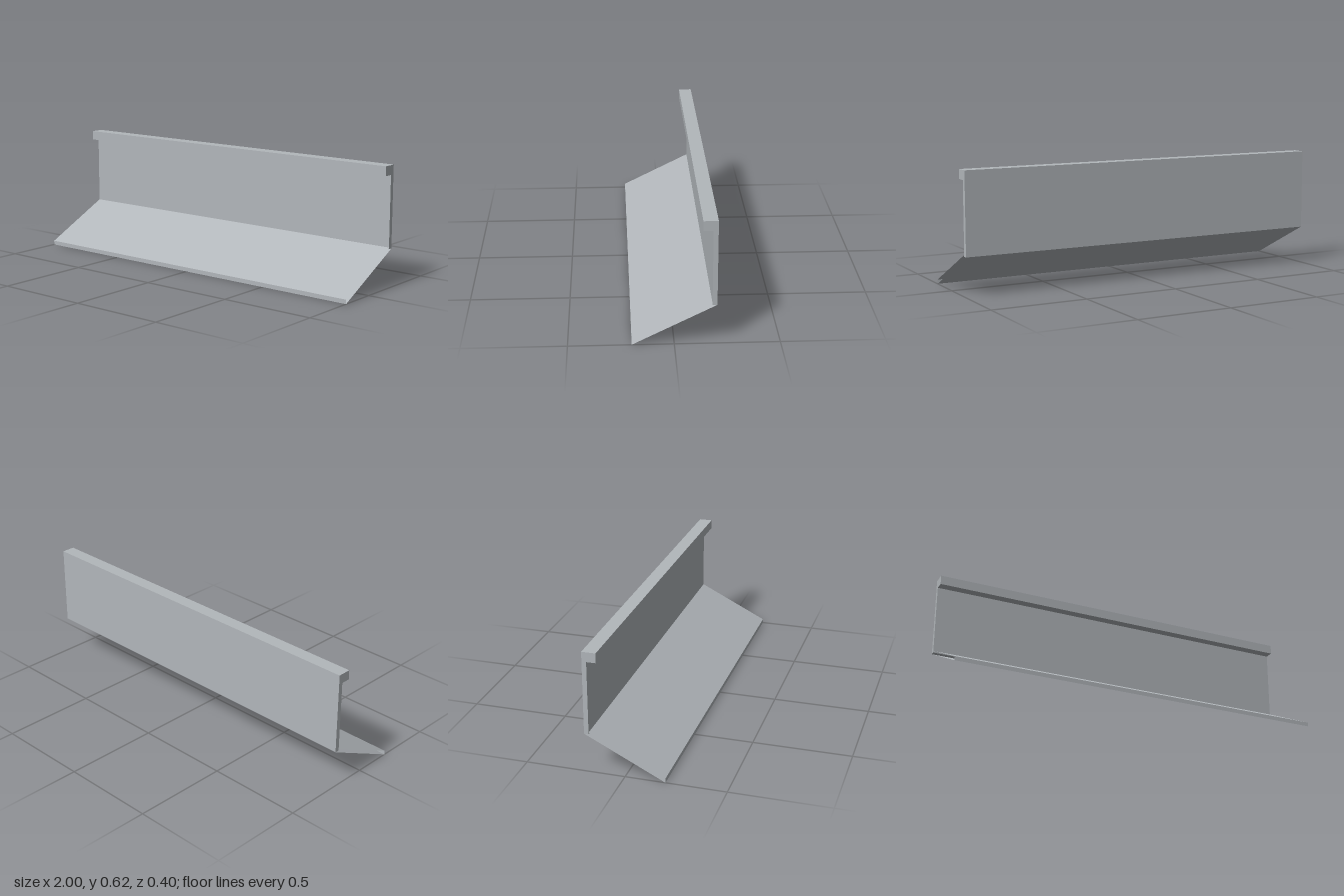
import * as THREE from 'three';

const LENGTH = 2;

export function createModel() {
  const metal = new THREE.MeshStandardMaterial({ color: 0xb2b7bb, side: THREE.DoubleSide });
  metal.name = 'grey metal';
  const group = new THREE.Group();
  group.name = 'flashingProfile';

  // Upright wall with its hooked top, a closed [z, y] section extruded along x
  const section = [[-0.2, 0.2], [-0.177, 0.2], [-0.177, 0.574], [-0.13, 0.574], [-0.13, 0.623], [-0.2, 0.623]];
  const shape = new THREE.Shape(section.map(([z, y]) => new THREE.Vector2(-z, y)));
  const wallGeometry = new THREE.ExtrudeGeometry(shape, { depth: LENGTH, bevelEnabled: false });
  wallGeometry.translate(0, 0, -LENGTH / 2).rotateY(Math.PI / 2);
  const wall = new THREE.Mesh(wallGeometry, metal);
  wall.name = 'hookedWall';
  group.add(wall);

  // Sloping apron: top sheet, front lip and underside, open at both ends
  const apron = new THREE.Group();
  apron.name = 'slopingApron';
  const path = [[-0.177, 0.209], [0.2, 0.022], [0.2, 0], [-0.2, 0.2]];
  ['apronTop', 'apronLip', 'apronUnderside'].forEach((name, i) => {
    const [z0, y0] = path[i];
    const [z1, y1] = path[i + 1];
    const sheet = new THREE.PlaneGeometry(LENGTH, Math.hypot(z1 - z0, y1 - y0));
    // The plane's upper edge lies at the start of the segment
    sheet.rotateX(Math.atan2(z0 - z1, y0 - y1));
    sheet.translate(0, (y0 + y1) / 2, (z0 + z1) / 2);
    const mesh = new THREE.Mesh(sheet, metal);
    mesh.name = name;
    apron.add(mesh);
  });
  group.add(apron);

  return group;
}
